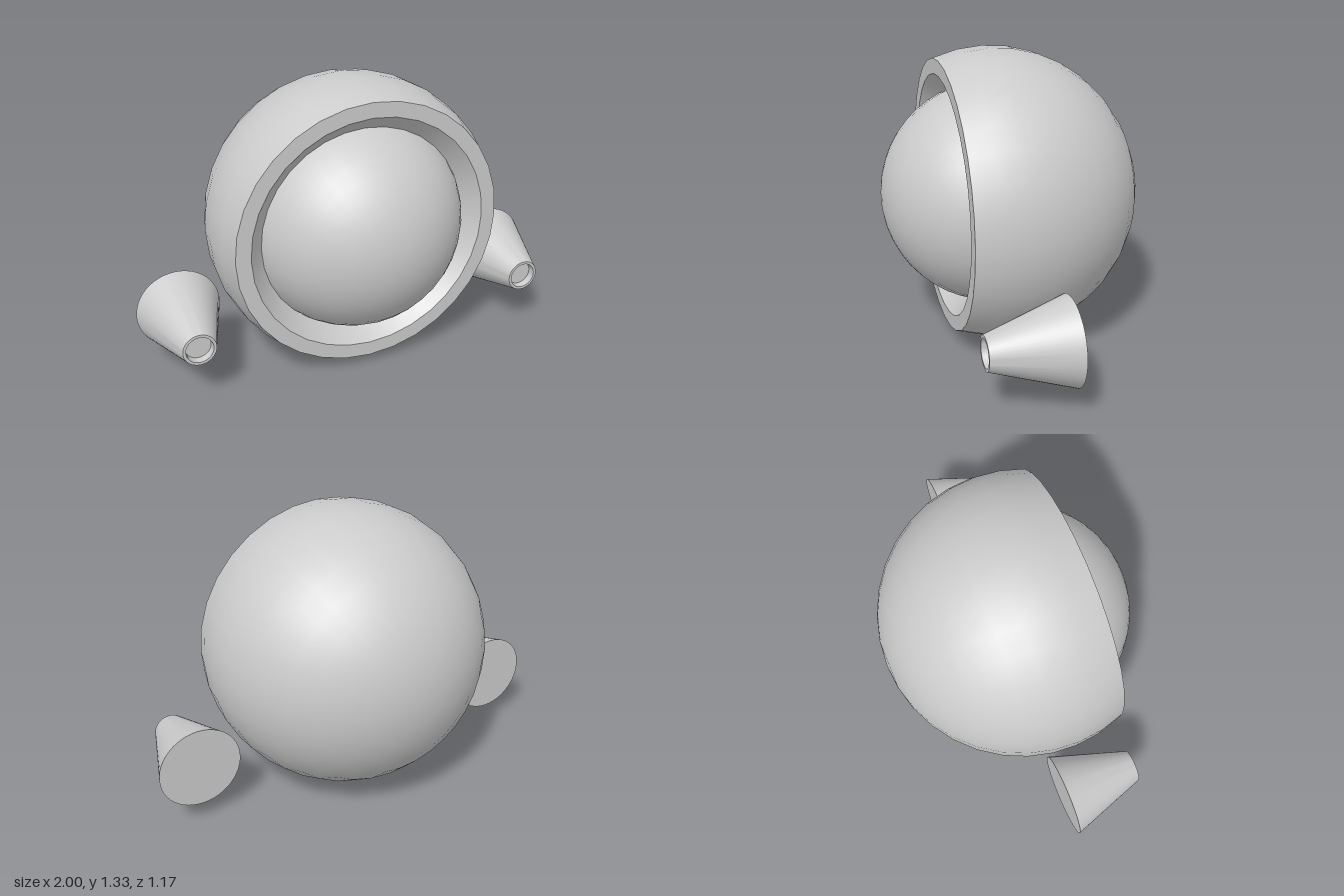
import * as THREE from 'three';
import { toCreasedNormals } from 'three/addons/utils/BufferGeometryUtils.js';

const material = new THREE.MeshStandardMaterial({ color: 0xcccccc, side: THREE.DoubleSide });

// Turns [radius, z] points, listed from back to front, around the z axis
function turned(name, points, segments) {
  const profile = points.map(([r, z]) => new THREE.Vector2(r, z));
  const lathe = new THREE.LatheGeometry(profile, segments).rotateX(Math.PI / 2);
  const mesh = new THREE.Mesh(toCreasedNormals(lathe, 0.45), material);
  mesh.name = name;
  return mesh;
}

// Arc of a circle as [radius, z] points
function arc(radius, from, to, steps) {
  return Array.from({ length: steps + 1 }, (_, i) => {
    const a = from + (to - from) * i / steps;
    return [Math.max(0, radius * Math.cos(a)), radius * Math.sin(a)];
  });
}

export function createModel() {
  const model = new THREE.Group();
  const center = new THREE.Vector3(0, 0.67, 0.08);

  // Round shell, cut flat at the front, with a funnel leading in to the ball
  const shell = turned('shell', [
    ...arc(0.667, -Math.PI / 2, Math.asin(0.235 / 0.667), 11),
    [0.555, 0.235], [0.475, 0.145],
  ], 32);
  shell.position.copy(center);
  model.add(shell);

  // Ball held in the shell
  const ball = new THREE.Mesh(new THREE.SphereGeometry(0.508, 32, 24).rotateX(Math.PI / 2), material);
  ball.name = 'ball';
  ball.position.copy(center);
  model.add(ball);

  // Tapered side nozzles with a shallow recess in the tip
  for (const side of [1, -1]) {
    const nozzle = turned(side > 0 ? 'leftNozzle' : 'rightNozzle', [
      [0, -0.035], [0.194, -0.035], [0.075, 0.328], [0.062, 0.328], [0.058, 0.295], [0, 0.295],
    ], 48);
    nozzle.position.set(side * 0.805, 0.295, 0);
    model.add(nozzle);
  }

  return model;
}
